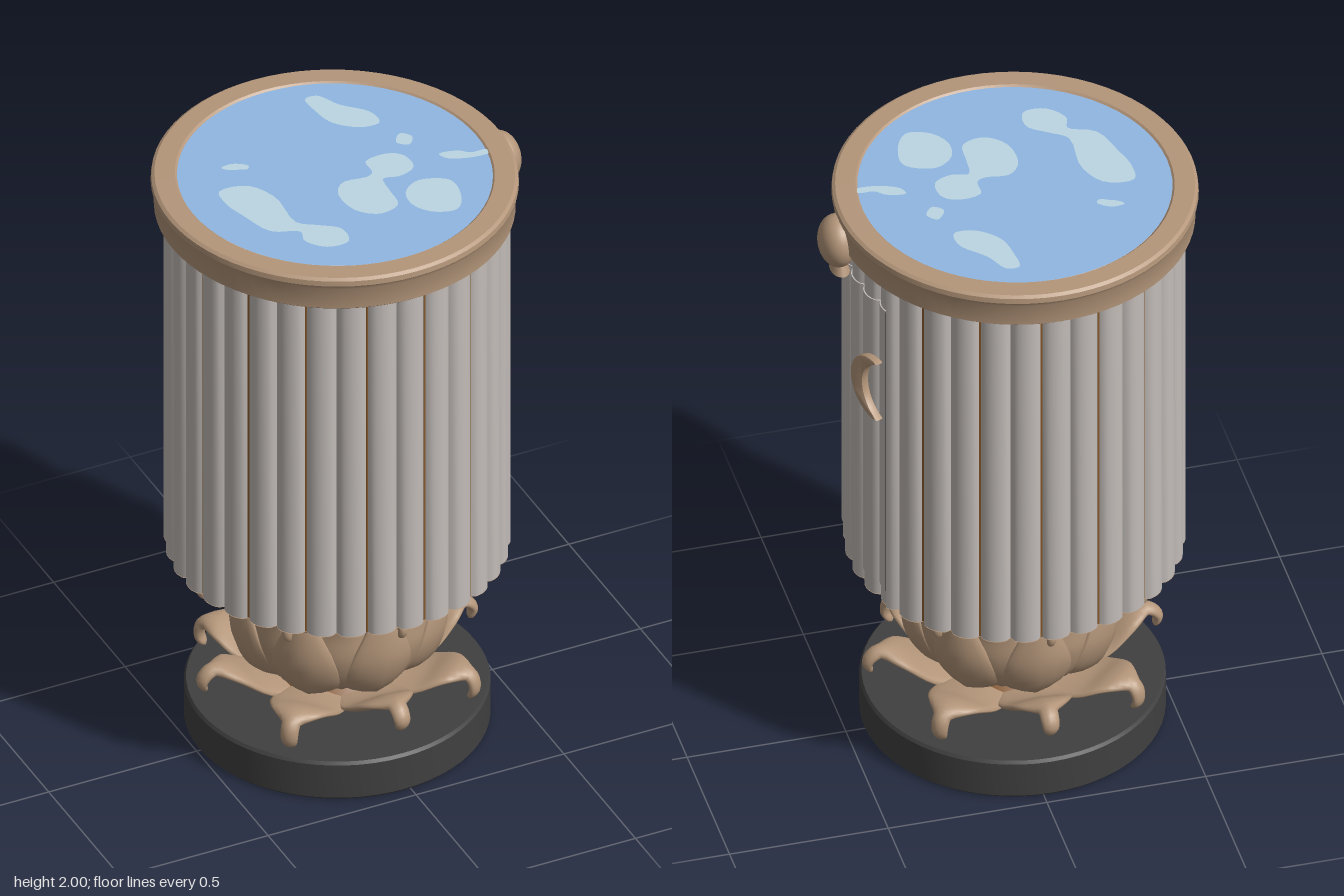
import * as THREE from 'three';
import { toCreasedNormals } from 'three/addons/utils/BufferGeometryUtils.js';

const FLUTES = 34;

export function createModel() {
  const model = new THREE.Group();
  const root = new THREE.Group();
  root.name = 'fountainColumn';
  root.position.x = -0.025;
  model.add(root);

  const material = (name, color, side = THREE.FrontSide) => {
    const m = new THREE.MeshStandardMaterial({ color, side });
    m.name = name;
    return m;
  };
  const bronze = material('bronze', 0xb4967a, THREE.DoubleSide);
  const darkBronze = material('dark bronze', 0x87592a, THREE.DoubleSide);
  const stone = material('grey wall', 0xc2bcb8);
  const black = material('black', 0x404040);
  const blue = material('blue', 0x91b7e2);
  const pale = material('pale blue', 0xbcd6e3);

  const add = (name, geometry, mat, parent = root) => {
    const mesh = new THREE.Mesh(geometry, mat);
    mesh.name = name;
    parent.add(mesh);
    return mesh;
  };
  const lathe = (pts, segments = 64, crease = 0.6) => toCreasedNormals(
    new THREE.LatheGeometry(pts.map(([r, y]) => new THREE.Vector2(r, y)), segments), crease);

  // Round foot
  add('base', lathe([[0, 0], [0.46, 0], [0.467, 0.008], [0.467, 0.127], [0.46, 0.137], [0, 0.137]]), black);

  // Core of the flower, flaring up to the drum
  add('flowerCore', lathe([[0.18, 0.13], [0.18, 0.155], [0.15, 0.175], [0.22, 0.205], [0.18, 0.24],
    [0.24, 0.32], [0.27, 0.42], [0.25, 0.54], [0.24, 0.66]], 40, 1), darkBronze);

  // A solid petal: oval cross-sections along a radial profile, wrapped around the axis
  const petalGeometry = (profile, width, ridge, taper) => {
    const curve = new THREE.CatmullRomCurve3(profile.map(([r, y]) => new THREE.Vector3(r, y, 0)));
    const rows = 26, sides = 16, pos = [], index = [];
    for (let i = 0; i <= rows; i++) {
      const t = i / rows;
      const p = curve.getPoint(t), d = curve.getTangent(t);
      const half = width * taper(t);
      const thick = 0.018 * Math.sqrt(1 - Math.pow(t, 8));
      for (let j = 0; j < sides; j++) {
        const phi = j / sides * 2 * Math.PI;
        const s = Math.cos(phi);
        const out = thick * Math.sin(phi) + ridge * (1 - Math.abs(s)) * (1 - t);
        const r = p.x + d.y * out;
        const a = s * half / Math.max(p.x, 0.12);
        pos.push(r * Math.cos(a), p.y - d.x * out, -r * Math.sin(a));
        if (i < rows) {
          const k = i * sides + j, m = i * sides + (j + 1) % sides;
          index.push(k, k + sides, m, m, k + sides, m + sides);
        }
      }
    }
    const g = new THREE.BufferGeometry();
    g.setAttribute('position', new THREE.Float32BufferAttribute(pos, 3));
    g.setIndex(index);
    g.computeVertexNormals();
    return g;
  };
  const leaf = (t) => 0.4 * (1 - t) + 0.85 * Math.sin(Math.PI * Math.pow(t, 0.85));
  const curled = (t) => Math.max(leaf(Math.min(t * 1.4, 1)), 0.27) * Math.sqrt(1 - Math.pow(t, 8));

  const petalRing = (name, count, offset, geometry) => {
    const ring = new THREE.Group();
    ring.name = name;
    root.add(ring);
    for (let i = 0; i < count; i++) {
      const petal = add(name + 'Petal', geometry, bronze, ring);
      petal.rotation.y = (i + offset) * 2 * Math.PI / count;
    }
  };
  petalRing('lowerFlower', 4, 0, petalGeometry([[0.14, 0.2], [0.21, 0.195], [0.29, 0.215], [0.37, 0.27],
    [0.425, 0.285], [0.456, 0.255], [0.445, 0.215]], 0.112, -0.012, curled));
  petalRing('lowerDiagonalFlower', 4, 0.5, petalGeometry([[0.14, 0.2], [0.21, 0.195], [0.3, 0.21],
    [0.38, 0.245], [0.43, 0.235], [0.443, 0.19], [0.423, 0.155]], 0.112, -0.012, curled));
  petalRing('cupInner', 8, 0.5, petalGeometry([[0.16, 0.25], [0.25, 0.31], [0.295, 0.4], [0.305, 0.5],
    [0.33, 0.62]], 0.13, 0.025, leaf));
  petalRing('cupInnermost', 8, 0, petalGeometry([[0.22, 0.35], [0.265, 0.45], [0.27, 0.54], [0.275, 0.65]],
    0.1, 0.01, leaf));
  petalRing('cupOuter', 8, 0, petalGeometry([[0.17, 0.24], [0.265, 0.29], [0.315, 0.38], [0.325, 0.49],
    [0.31, 0.645]], 0.105, 0.025, leaf));
  petalRing('cupCurled', 8, 0, petalGeometry([[0.25, 0.4], [0.3, 0.48], [0.345, 0.57], [0.4, 0.625],
    [0.447, 0.618], [0.458, 0.585], [0.437, 0.557]], 0.06, 0.005, curled));

  // Fluted drum, a little flatter on the door side
  const wallRadius = (a) => {
    const lobe = Math.abs(Math.sin(a * FLUTES / 2));
    const door = Math.abs(Math.atan2(Math.sin(a), Math.cos(a))) < 0.48 ? 0.011 : 0;
    return 0.512 + 0.025 * Math.sqrt(lobe) - door;
  };
  const arc = (a0, a1, n, grow) => Array.from({ length: n + 1 }, (_, i) => {
    const a = a0 + (a1 - a0) * i / n, r = wallRadius(a) + grow;
    return new THREE.Vector2(0.98 * r * Math.cos(a), r * Math.sin(a));
  });
  const upright = (shape, y0, y1) => {
    const g = new THREE.ExtrudeGeometry(shape, { depth: y1 - y0, bevelEnabled: false });
    g.rotateX(-Math.PI / 2);
    g.translate(0, y0, 0);
    return toCreasedNormals(g, 0.6);
  };
  const outline = new THREE.Shape(arc(0, 2 * Math.PI, FLUTES * 8, 0).slice(0, -1));
  add('flutedDrum', upright(outline, 0.65, 1.9), stone);
  const underside = add('drumUnderside', new THREE.ShapeGeometry(outline), bronze);
  underside.rotation.x = -Math.PI / 2;
  underside.position.y = 0.648;

  // Bronze lining glimpsed in some of the grooves
  for (let i = 4; i < FLUTES - 3; i += 2) {
    const a = i * 2 * Math.PI / FLUTES;
    const strip = add('grooveStrip', new THREE.BoxGeometry(0.009, 1.24, 0.006), darkBronze);
    strip.position.set(0.98 * 0.513 * Math.cos(a), 1.272, -0.513 * Math.sin(a));
    strip.rotation.y = a;
  }

  // Door panel follows the flutes
  const doorPoints = [...arc(-0.475, 0.475, 64, 0.004), ...arc(-0.475, 0.475, 64, -0.01).reverse()];
  add('door', upright(new THREE.Shape(doorPoints), 0.71, 1.78), stone);
  const gap = add('doorGap', new THREE.BoxGeometry(0.008, 1.07, 0.007), black);
  gap.position.set(0.46, 1.245, -0.246);
  gap.rotation.y = 0.48;

  // Crescent handle on the door
  const moon = new THREE.Shape();
  moon.absarc(0.03, 0, 0.108, 1.4, 2 * Math.PI - 1.4, false);
  moon.bezierCurveTo(-0.05, -0.07, -0.05, 0.07, 0.03 + 0.108 * Math.cos(1.4), 0.108 * Math.sin(1.4));
  const moonGeometry = new THREE.ExtrudeGeometry(moon, {
    depth: 0.014, bevelEnabled: true, bevelSize: 0.004, bevelThickness: 0.006, bevelSegments: 2, curveSegments: 20
  });
  const handle = add('crescentHandle', toCreasedNormals(moonGeometry, 0.6), bronze);
  handle.position.set(0.497, 1.48, -0.194);
  handle.rotation.y = Math.PI / 2 + 0.36;

  // Rim and round top
  const rim = add('rim', lathe([[0.49, 1.88], [0.55, 1.88], [0.56, 1.888], [0.562, 1.96], [0.57, 1.975],
    [0.568, 1.992], [0.558, 1.999], [0.495, 2], [0.486, 1.992]], 72, 0.5), bronze);
  rim.position.x = -0.008;
  rim.scale.x = 0.98;
  const disc = add('blueTop', new THREE.CircleGeometry(0.488, 64), blue);
  disc.rotation.x = -Math.PI / 2;
  disc.position.set(-0.004, 1.995, 0);
  disc.scale.x = 0.99;

  // Pale patches lying on the top, as x and z pairs
  const patches = [
    [[.06, -.4], [.1, -.4], [.14, -.33], [.21, -.25], [.21, -.19], [.15, -.19], [.08, -.25], [.06, -.33]],
    [[-.33, -.18], [-.29, -.185], [-.25, -.155], [-.26, -.14], [-.29, -.15], [-.32, -.165]],
    [[-.39, -.07], [-.3, -.06], [-.25, .03], [-.25, .18], [-.2, .22], [-.14, .27], [-.15, .34],
      [-.22, .34], [-.27, .28], [-.26, .23], [-.34, .19], [-.38, .08], [-.4, 0]],
    [[.24, -.11], [.267, -.08], [.24, -.045], [.21, -.07]],
    [[.08, -.02], [.16, -.03], [.2, 0], [.2, .07], [.14, .095], [.09, .085], [.08, .15], [.07, .23],
      [0, .25], [-.06, .2], [-.07, .1], [-.03, .05], [.05, .055], [.075, .04]],
    [[.12, .18], [.18, .14], [.27, .18], [.26, .28], [.22, .33], [.15, .31], [.11, .25]],
    [[.3, .04], [.36, .05], [.39, .075], [.44, .08], [.44, .1], [.38, .1], [.31, .07]]
  ];
  for (const points of patches) {
    const curve = new THREE.CatmullRomCurve3(points.map(([x, z]) => new THREE.Vector3(x + 0.025, -z, 0)), true);
    const shape = new THREE.Shape(curve.getPoints(48).slice(0, -1).map((p) => new THREE.Vector2(p.x, p.y)));
    const patch = add('palePatch', new THREE.ShapeGeometry(shape), pale);
    patch.rotation.x = -Math.PI / 2;
    patch.position.y = 1.9975;
  }

  // Knob above the door
  const knob = add('rimKnob', new THREE.SphereGeometry(1, 28, 20), bronze);
  knob.position.set(0.552, 1.893, 0);
  knob.scale.set(0.06, 0.085, 0.08);
  const stem = add('knobFoot', new THREE.CylinderGeometry(0.035, 0.05, 0.03, 20), bronze);
  stem.position.set(0.545, 1.8, 0);
  stem.scale.x = 0.6;

  return model;
}
